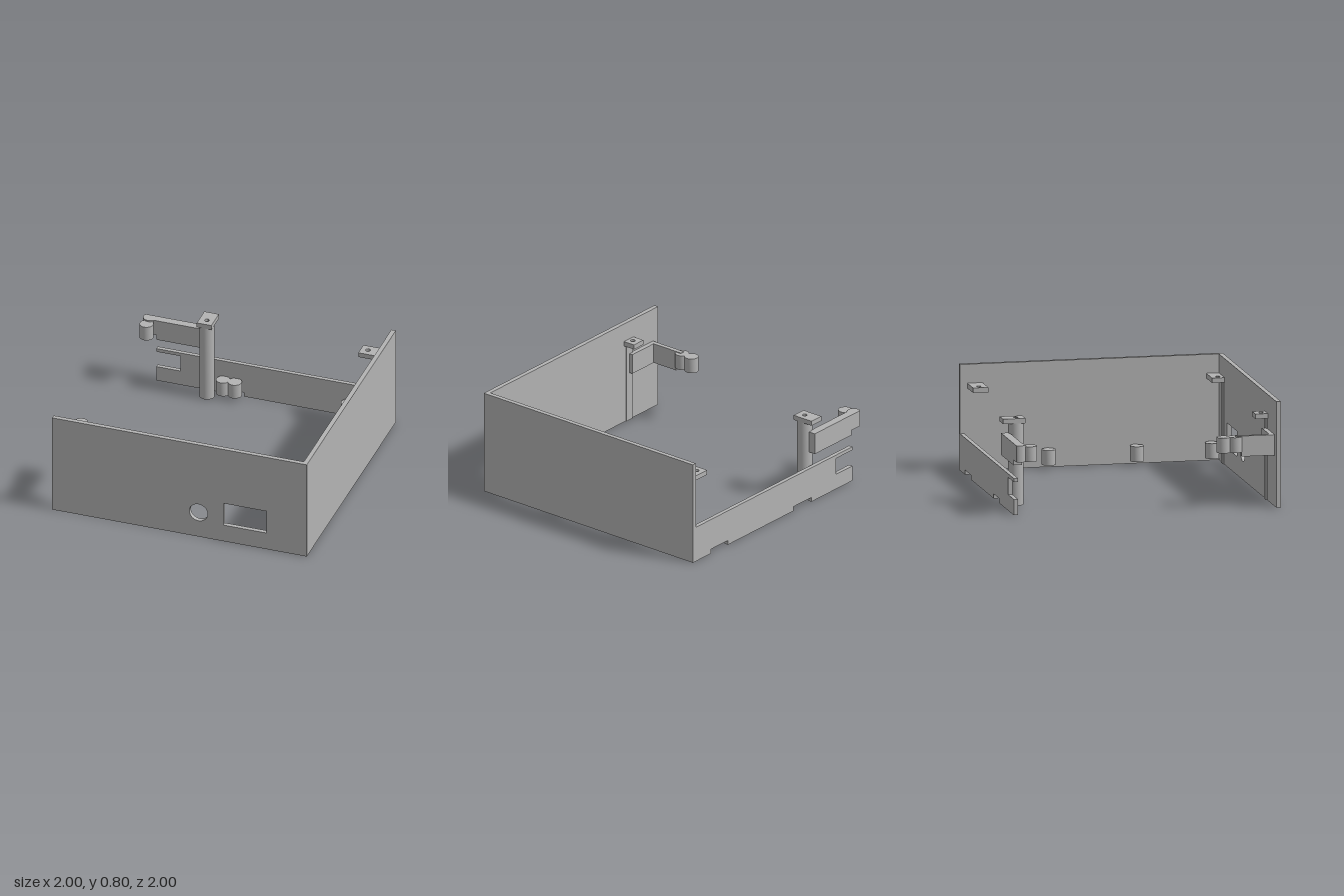
import * as THREE from 'three';
import { toCreasedNormals } from 'three/addons/utils/BufferGeometryUtils.js';

export function createModel() {
  const model = new THREE.Group();
  const grey = new THREE.MeshStandardMaterial({ color: 0xb3b3b3 });
  grey.name = 'plain grey';

  const add = (name, geometry) => {
    const mesh = new THREE.Mesh(geometry, grey);
    mesh.name = name;
    model.add(mesh);
    return mesh;
  };

  // Box given by its limits on each axis
  const block = (name, x0, x1, y0, y1, z0, z1) =>
    add(name, new THREE.BoxGeometry(x1 - x0, y1 - y0, z1 - z0))
      .position.set((x0 + x1) / 2, (y0 + y1) / 2, (z0 + z1) / 2);

  const outline = (pts, Type = THREE.Shape) => new Type(pts.map(([x, y]) => new THREE.Vector2(x, y)));
  const rect = (x0, x1, y0, y1) => [[x0, y0], [x1, y0], [x1, y1], [x0, y1]];
  const roundHole = (x, y, r) => new THREE.Path().absarc(x, y, r, 0, Math.PI * 2, true);

  // Upright panel cut from an x-y outline
  const panel = (name, shape, z0, z1) =>
    add(name, toCreasedNormals(new THREE.ExtrudeGeometry(shape,
      { depth: z1 - z0, bevelEnabled: false, curveSegments: 24 }), 0.6)).position.z = z0;

  // Round part with a blind hole bored from below
  const bored = (name, x, z, r, hole, y0, y1, depth) => {
    const profile = [[0, y0 + depth], [hole, y0 + depth], [hole, y0], [r, y0], [r, y1], [0, y1]]
      .map(([a, b]) => new THREE.Vector2(a, b));
    add(name, toCreasedNormals(new THREE.LatheGeometry(profile, 32), 0.6)).position.set(x, 0, z);
  };
  const foot = (name, x, z, y0) => bored(name, x, z, 0.052, 0.026, y0, y0 + 0.115, 0.09);

  // Front wall with round and rectangular openings
  const front = outline(rect(-1, 1, 0, 0.8));
  front.holes.push(roundHole(0.15, 0.21, 0.072));
  front.holes.push(outline(rect(0.345, 0.685, 0.14, 0.33).reverse(), THREE.Path));
  panel('frontWall', front, 0.965, 1);

  // Side wall
  block('sideWall', 0.965, 1, 0, 0.8, -1, 0.965);

  // Low back wall: open end slot and recesses along the bottom
  panel('backWall', outline([
    [-0.87, 0], [-0.39, 0], [-0.39, 0.035], [-0.18, 0.035], [-0.18, 0],
    [0.59, 0], [0.59, 0.035], [0.79, 0.035], [0.79, 0], [0.965, 0], [0.965, 0.277],
    [-0.87, 0.277], [-0.87, 0.25], [-0.68, 0.25], [-0.68, 0.12], [-0.87, 0.12],
  ]), -1, -0.968);

  // Screw tabs with a vertical hole
  const tab = (name, x0, x1, z0, z1, hx, hz) => {
    const shape = outline(rect(x0, x1, -z1, -z0));
    shape.holes.push(roundHole(hx, -hz, 0.018));
    const geometry = new THREE.ExtrudeGeometry(shape, { depth: 0.037, bevelEnabled: false, curveSegments: 16 });
    geometry.rotateX(-Math.PI / 2);
    add(name, toCreasedNormals(geometry, 0.6)).position.y = 0.62;
  };
  tab('backCornerTab', 0.765, 0.965, -0.945, -0.83, 0.82, -0.89);
  tab('frontCornerTab', 0.765, 0.965, 0.87, 0.965, 0.82, 0.925);
  tab('frontTab', -0.71, -0.6, 0.87, 0.965, -0.655, 0.925);
  tab('postTab', -0.505, -0.39, -1, -0.83, -0.445, -0.89);

  // Shallow ribs on the inside of the front wall
  for (const x of [-0.655, 0.82]) block('wallRib', x - 0.034, x + 0.034, 0, 0.62, 0.957, 0.965);

  // Tall hollow post
  bored('post', -0.445, -0.89, 0.057, 0.036, 0, 0.62, 0.55);

  // Low feet along the side wall, each joined by a small web
  for (const z of [-0.905, -0.34, 0.33, 0.9]) {
    foot('sideFoot', 0.905, z, 0.03);
    block('footWeb', 0.945, 0.965, 0.03, 0.145, z - 0.016, z + 0.016);
  }

  // Paired feet along the back wall
  for (const x of [-0.33, -0.237, 0.65, 0.738]) foot('backFoot', x, -0.922, 0.03);

  // Back bracket arm with a raised end and its foot
  panel('backArm', outline([
    [-0.86, 0.375], [-0.43, 0.375], [-0.43, 0.54], [-0.94, 0.54], [-0.94, 0.415], [-0.86, 0.415],
  ]), -1, -0.937);
  foot('backArmFoot', -0.92, -0.89, 0.415);
  // Rounded arm end, flat at the back
  const lobe = new THREE.Shape();
  lobe.moveTo(-0.96, 1).lineTo(-0.966, 0.995);
  lobe.absarc(-0.92, 0.972, 0.052, Math.PI * 0.85, Math.PI * 2.15, false);
  lobe.lineTo(-0.88, 1);
  const lobeGeometry = new THREE.ExtrudeGeometry(lobe, { depth: 0.125, bevelEnabled: false, curveSegments: 24 });
  lobeGeometry.rotateX(-Math.PI / 2);
  add('backArmEnd', toCreasedNormals(lobeGeometry, 0.6)).position.y = 0.415;

  // Front bracket: L-shaped arm carrying two feet
  block('frontArm', -0.94, -0.655, 0.385, 0.54, 0.93, 0.965);
  block('frontArmReturn', -0.94, -0.905, 0.385, 0.54, 0.715, 0.93);
  block('frontArmLink', -0.94, -0.905, 0.42, 0.54, 0.67, 0.715);
  for (const z of [0.58, 0.67]) foot('frontArmFoot', -0.92, z, 0.42);

  return model;
}
